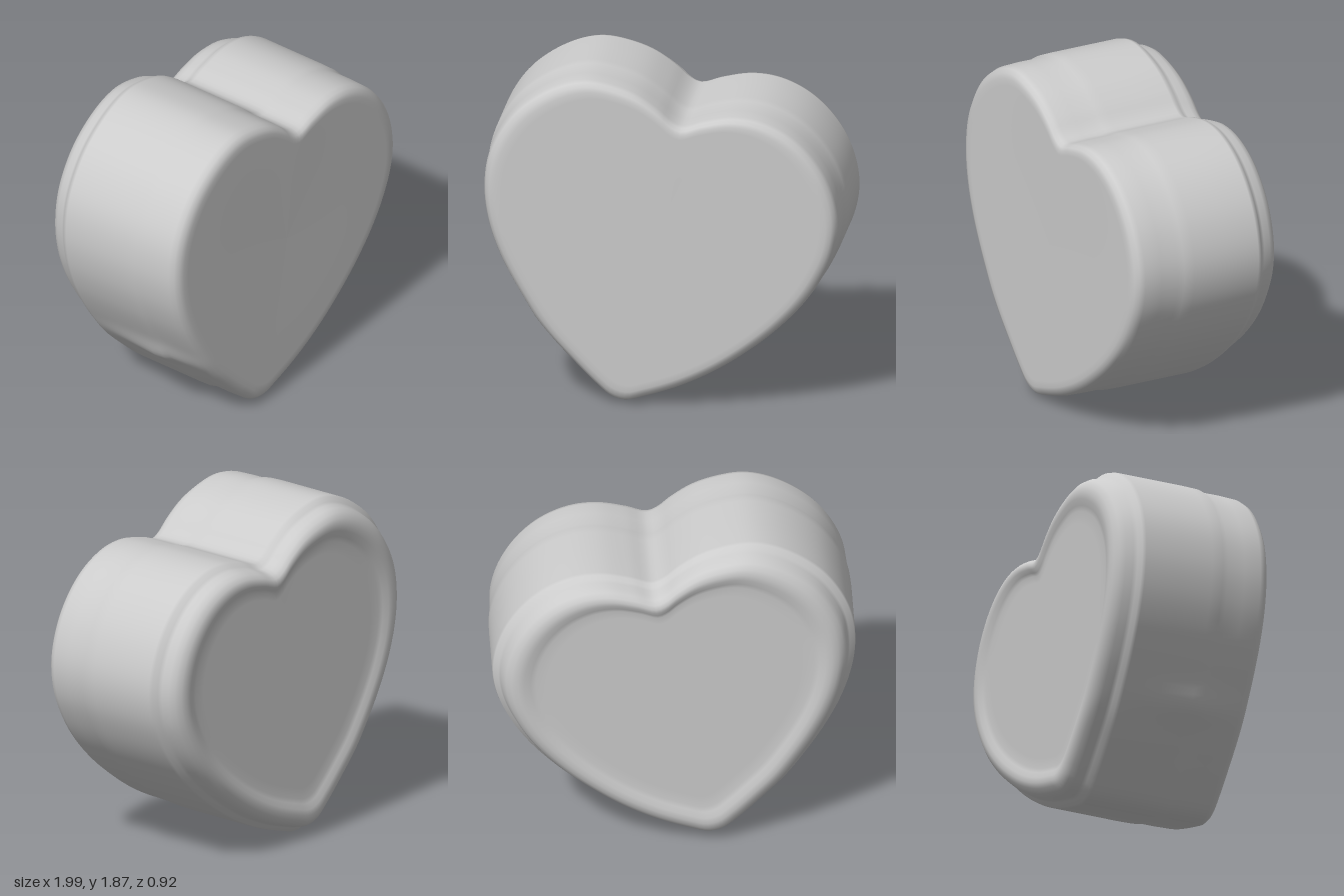
import * as THREE from 'three';

// Tilted heart outline, clockwise from the notch
const OUTLINE = [
  [0.12, 1.635], [0.24, 1.67], [0.40, 1.70], [0.55, 1.685], [0.70, 1.62], [0.82, 1.52],
  [0.92, 1.38], [0.98, 1.22], [0.995, 1.08], [0.97, 0.93], [0.90, 0.77], [0.80, 0.62],
  [0.65, 0.46], [0.48, 0.32], [0.30, 0.20], [0.10, 0.10], [-0.10, 0.03], [-0.20, 0.005],
  [-0.28, 0.025], [-0.36, 0.09], [-0.50, 0.23], [-0.62, 0.36], [-0.72, 0.50], [-0.82, 0.66],
  [-0.91, 0.84], [-0.97, 1.02], [-0.995, 1.20], [-0.98, 1.38], [-0.93, 1.52], [-0.83, 1.67],
  [-0.70, 1.78], [-0.55, 1.855], [-0.42, 1.88], [-0.28, 1.86], [-0.14, 1.81], [-0.02, 1.73],
  [0.06, 1.66],
];

// Depth profile, front to back: [z, fraction drawn in toward the centre]
const PROFILE = [
  // flat front with rounded edge
  [0.455, 1], [0.457, 0.5], [0.459, 0.12], [0.458, 0.08], [0.45, 0.05], [0.43, 0.028],
  [0.40, 0.017], [0.30, 0.013], [0.20, 0.014],
  // main body behind a faint seam
  [0.165, 0.002], [0.10, 0], [-0.10, 0], [-0.30, 0], [-0.322, 0.005],
  // stepped-in back rim
  [-0.338, 0.032], [-0.36, 0.042], [-0.40, 0.052], [-0.43, 0.07], [-0.452, 0.10],
  [-0.46, 0.135], [-0.457, 0.17], [-0.445, 0.205], [-0.438, 0.235],
  // recessed back panel
  [-0.437, 0.30], [-0.437, 1],
];

const CENTRE = new THREE.Vector2(0, 0.98);
const SEGMENTS = 200;

function heartGeometry() {
  const curve = new THREE.CatmullRomCurve3(
    OUTLINE.map(([x, y]) => new THREE.Vector3(x, y, 0)), true, 'centripetal');
  const outline = curve.getSpacedPoints(SEGMENTS).slice(0, SEGMENTS);
  const positions = [];
  const indices = [];

  PROFILE.forEach(([z, inset], i) => {
    // small swelling on the lower right flank, fading along the depth
    const swell = 0.03 * Math.max(0, 1 - Math.abs(z - 0.1) / 0.4);
    outline.forEach((p, j) => {
      const d = Math.hypot(p.x + 0.70, p.y - 0.47);
      const push = swell * Math.exp(-((d / 0.1) ** 2));
      const x = p.x - 0.8 * push;
      const y = p.y - 0.6 * push;
      positions.push(x + (CENTRE.x - x) * inset, y + (CENTRE.y - y) * inset, z);
      if (i === PROFILE.length - 1) return;
      const k = (j + 1) % SEGMENTS;
      const a = i * SEGMENTS + j, b = i * SEGMENTS + k;
      const c = a + SEGMENTS, e = b + SEGMENTS;
      // the first and last bands close to a point
      if (i > 0) indices.push(a, b, c);
      else indices.push(a, e, c);
      if (i > 0 && i < PROFILE.length - 2) indices.push(b, e, c);
    });
  });

  const geometry = new THREE.BufferGeometry();
  geometry.setAttribute('position', new THREE.Float32BufferAttribute(positions, 3));
  geometry.setIndex(indices);
  geometry.computeVertexNormals();
  return geometry;
}

export function createModel() {
  const group = new THREE.Group();
  group.name = 'heartBox';
  const body = new THREE.Mesh(
    heartGeometry(), new THREE.MeshStandardMaterial({ color: 0xcccccc }));
  body.name = 'heartBody';
  group.add(body);
  return group;
}
